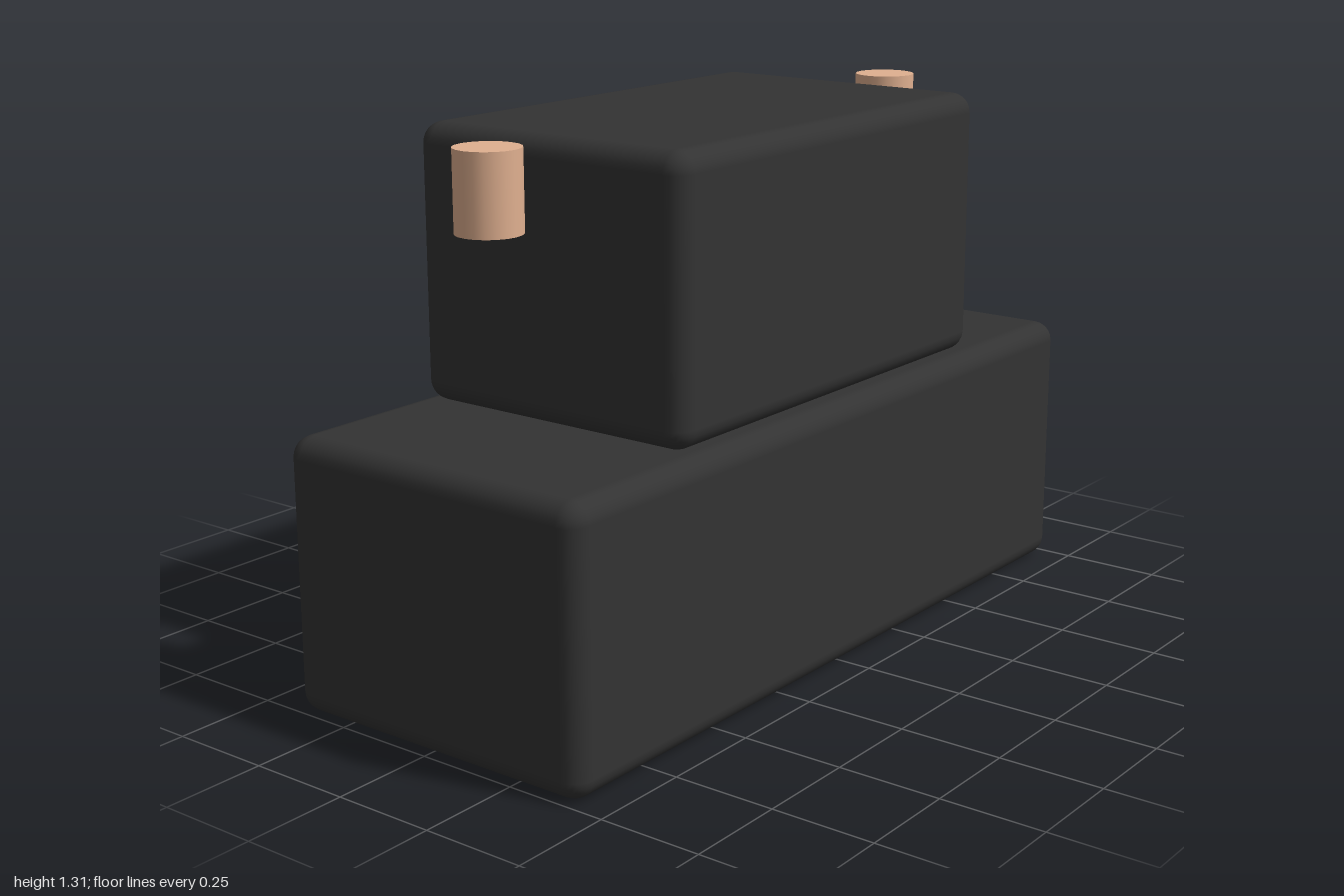
import * as THREE from 'three';
import { RoundedBoxGeometry } from 'three/addons/geometries/RoundedBoxGeometry.js';

export function createModel() {
  const model = new THREE.Group();
  model.name = 'model';

  const material = (name, color) => {
    const m = new THREE.MeshStandardMaterial({ color });
    m.name = name;
    return m;
  };
  const charcoal = material('charcoal', 0x333333);
  const tan = material('tan', 0xe0b090);
  const red = material('red', 0xe53935);

  const add = (name, geometry, mat, x, y, z) => {
    const mesh = new THREE.Mesh(geometry, mat);
    mesh.name = name;
    mesh.position.set(x, y, z);
    model.add(mesh);
  };

  const midZ = 0.018; // shared centre line of the body
  const height = 0.654; // each block has the same height

  // Stacked soft-edged blocks
  add('lowerBlock', new RoundedBoxGeometry(2, height, 0.84, 3, 0.05), charcoal, 0, height / 2, midZ);
  add('upperBlock', new RoundedBoxGeometry(1.2, height, 0.764, 3, 0.05), charcoal, 0, height * 1.5, midZ);

  // Tab on the back of the upper block
  add('backTab', new RoundedBoxGeometry(0.186, 0.302, 0.15, 3, 0.03), red, 0, 1.047, -0.365);

  // Floating pegs, one on each side
  const peg = new THREE.CylinderGeometry(0.076, 0.076, 0.185, 20);
  for (const [name, side] of [['leftPeg', 1], ['rightPeg', -1]]) {
    add(name, peg, tan, side * 0.77, 1.2155, midZ);
  }

  return model;
}
